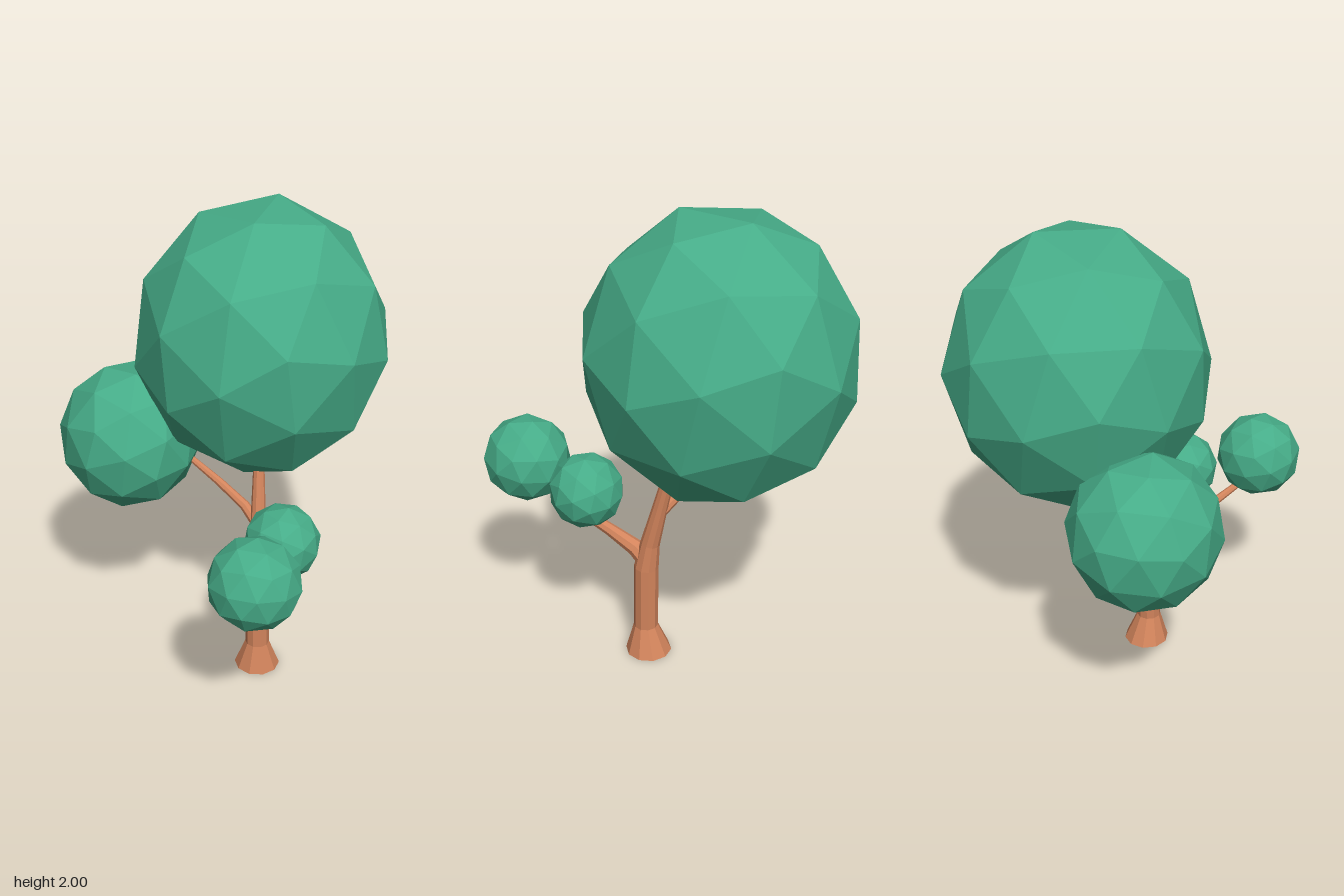
import * as THREE from 'three';

const bark = new THREE.MeshStandardMaterial({ color: 0xd2845c, flatShading: true });
const leaf = new THREE.MeshStandardMaterial({ color: 0x46ac88, flatShading: true });

// Tapered limb through points [x, y, z, radius], with capped ends.
// The ring frame uses a fixed reference axis so the sides do not twist.
function limb(name, points, sides) {
  const centres = points.map(([x, y, z]) => new THREE.Vector3(x, y, z));
  const pos = [], index = [];
  points.forEach((p, i) => {
    const a = centres[Math.max(i - 1, 0)], b = centres[Math.min(i + 1, points.length - 1)];
    const t = b.clone().sub(a).normalize();
    if (p[1] < 0.14) t.set(0, 1, 0); // keep the foot level
    const v = new THREE.Vector3().crossVectors(t, new THREE.Vector3(1, 0, 0)).normalize();
    const u = new THREE.Vector3().crossVectors(v, t);
    for (let s = 0; s < sides; s++) {
      const ang = (s / sides) * Math.PI * 2;
      const q = centres[i].clone()
        .addScaledVector(u, Math.cos(ang) * p[3])
        .addScaledVector(v, -Math.sin(ang) * p[3]);
      pos.push(q.x, q.y, q.z);
      if (i > 0) {
        const n = (s + 1) % sides, lo = (i - 1) * sides, hi = i * sides;
        index.push(lo + s, lo + n, hi + n, lo + s, hi + n, hi + s);
      }
    }
  });
  const top = (points.length - 1) * sides;
  for (let s = 1; s < sides - 1; s++) {
    index.push(0, s + 1, s, top, top + s, top + s + 1);
  }
  // Make the winding outward whichever way the ring runs
  const A = new THREE.Vector3().fromArray(pos, index[0] * 3);
  const B = new THREE.Vector3().fromArray(pos, index[1] * 3);
  const C = new THREE.Vector3().fromArray(pos, index[2] * 3);
  const normal = B.clone().sub(A).cross(C.clone().sub(A));
  if (normal.dot(A.clone().add(B).multiplyScalar(0.5).sub(centres[0])) < 0) {
    for (let i = 0; i < index.length; i += 3) [index[i], index[i + 1]] = [index[i + 1], index[i]];
  }
  const geo = new THREE.BufferGeometry();
  geo.setAttribute('position', new THREE.Float32BufferAttribute(pos, 3));
  geo.setIndex(index);
  geo.computeVertexNormals();
  const mesh = new THREE.Mesh(geo, bark);
  mesh.name = name;
  return mesh;
}

// Faceted ball of leaves, turned and then fitted to a centre and half-sizes
function foliage(name, centre, half, turn) {
  const geo = new THREE.IcosahedronGeometry(1, 1);
  geo.rotateX(turn[0]).rotateY(turn[1]).rotateZ(turn[2]);
  geo.center();
  const m = geo.boundingBox.max.clone();
  geo.computeBoundingBox();
  m.copy(geo.boundingBox.max);
  geo.scale(half[0] / m.x, half[1] / m.y, half[2] / m.z);
  geo.translate(...centre);
  geo.computeVertexNormals();
  const mesh = new THREE.Mesh(geo, leaf);
  mesh.name = name;
  return mesh;
}

export function createModel() {
  const tree = new THREE.Group();
  tree.name = 'tree';
  tree.add(
    // Trunk with flared foot, leaning back above the fork
    limb('trunk', [
      [0.185, 0, 0.04, 0.098], [0.185, 0.125, 0.052, 0.052], [0.182, 0.42, 0.048, 0.052],
      [0.18, 0.54, 0.03, 0.041], [0.178, 0.72, -0.015, 0.032], [0.175, 0.98, -0.08, 0.022],
    ], 10),
    // Branch reaching forward
    limb('frontBranch', [
      [0.18, 0.43, 0.03, 0.04], [0.18, 0.5, 0.1, 0.036], [0.18, 0.56, 0.22, 0.026],
      [0.18, 0.615, 0.35, 0.02], [0.18, 0.7, 0.52, 0.014],
    ], 8),
    limb('frontTwig', [
      [0.18, 0.6, 0.335, 0.018], [0.195, 0.645, 0.335, 0.014], [0.24, 0.73, 0.3, 0.011],
    ], 6),
    // Branch reaching back and to the side
    limb('backBranch', [
      [0.178, 0.69, -0.01, 0.026], [0.12, 0.75, -0.06, 0.022],
      [0.01, 0.82, -0.13, 0.018], [-0.12, 0.89, -0.21, 0.014],
    ], 8),
    foliage('crown', [0.17, 1.44, -0.26], [0.51, 0.56, 0.52], [0.35, 0.25, 0.15]),
    foliage('sideFoliage', [-0.38, 0.98, -0.245], [0.3, 0.31, 0.307], [0.9, 0.4, 0.3]),
    foliage('frontFoliage', [0.18, 0.82, 0.597], [0.18, 0.18, 0.18], [0.2, 0.7, 0.5]),
    foliage('innerFoliage', [0.28, 0.792, 0.267], [0.153, 0.154, 0.153], [0.6, 0.1, 0.8]),
  );
  return tree;
}
